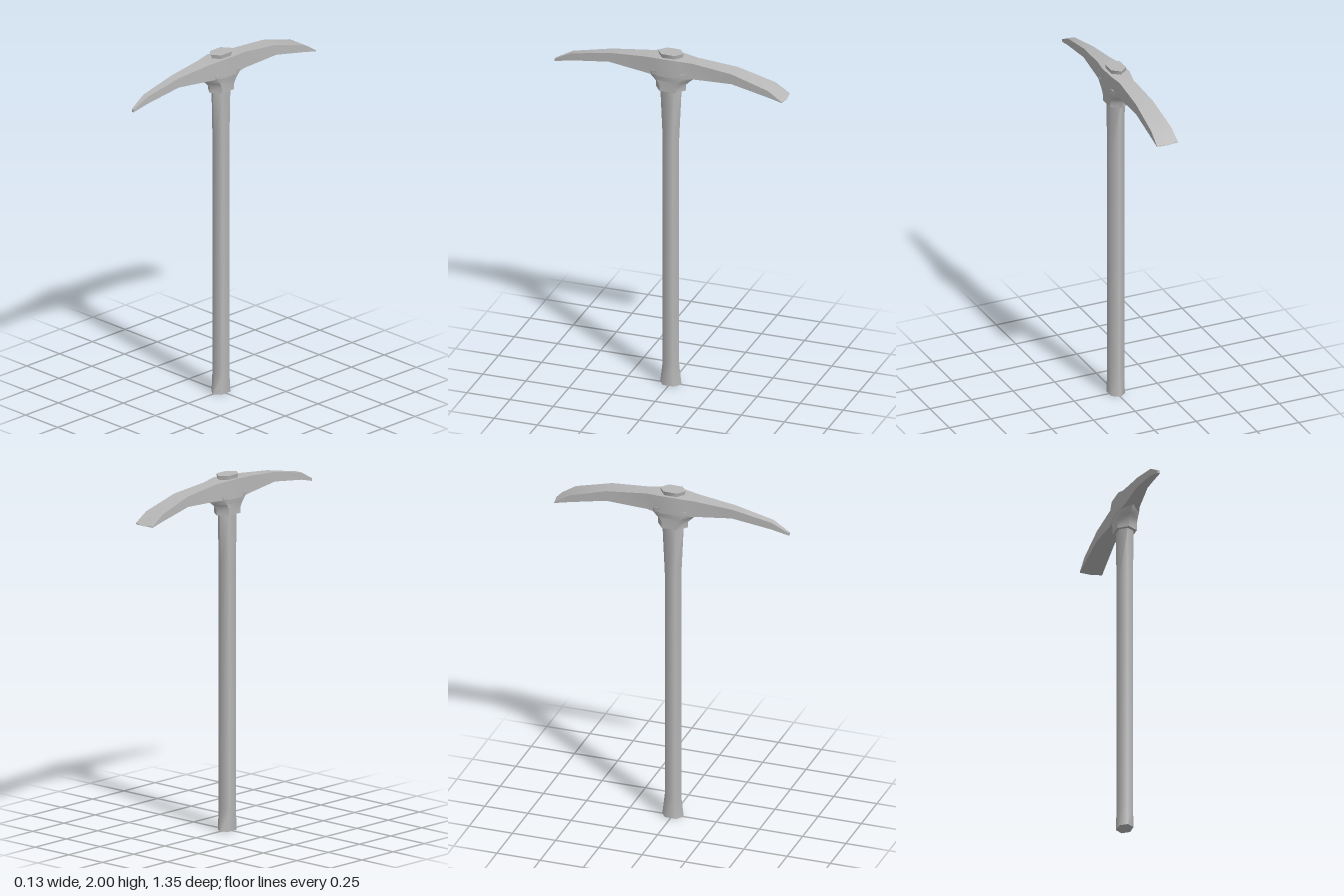
import * as THREE from 'three';
import { toCreasedNormals } from 'three/addons/utils/BufferGeometryUtils.js';

// Closed skin over equal-sized rings, each running anticlockwise seen from the far end
function loft(rings, crease) {
  const n = rings[0].length, last = (rings.length - 1) * n, index = [];
  for (let r = 0; r < last; r += n) {
    for (let i = 0; i < n; i++) {
      const j = (i + 1) % n;
      index.push(r + i, r + j, r + n + j, r + i, r + n + j, r + n + i);
    }
  }
  for (let i = 1; i < n - 1; i++) {
    index.push(0, i + 1, i, last, last + i, last + i + 1);
  }
  const g = new THREE.BufferGeometry();
  g.setAttribute('position', new THREE.Float32BufferAttribute(rings.flat(2), 3));
  g.setIndex(index);
  return toCreasedNormals(g, crease);
}

// Long hexagon with its points along z
const hexRing = ([y, x, z]) => [
  [x, y, z * 0.53], [x, y, -z * 0.53], [0, y, -z],
  [-x, y, -z * 0.53], [-x, y, z * 0.53], [0, y, z],
];

// Head section: flat top and bottom, each with a middle vertex
const headRing = ([z, w, top, bottom, zMid = z]) => [
  [w, top, z], [0, top, zMid], [-w, top, z],
  [-w, bottom, z], [0, bottom, zMid], [w, bottom, z],
];

export function createModel() {
  const group = new THREE.Group();
  const grey = new THREE.MeshStandardMaterial({ color: 0xb8b8b8 });
  grey.name = 'plain grey';
  const add = (name, geometry) => {
    const mesh = new THREE.Mesh(geometry, grey);
    mesh.name = name;
    group.add(mesh);
  };

  // Handle: y, half width, half depth
  add('handle', loft([
    [0, 0.04, 0.062], [0.12, 0.04, 0.048], [1.48, 0.04, 0.048],
    [1.78, 0.04, 0.062], [1.97, 0.041, 0.065], [2, 0.045, 0.075],
  ].map(hexRing), 1.25));

  // Collar flaring up into the head
  add('collar', loft([
    [1.78, 0.055, 0.086], [1.815, 0.055, 0.088], [1.845, 0.056, 0.117],
    [1.877, 0.058, 0.165], [1.9, 0.058, 0.165],
  ].map(hexRing), 0.9));

  // Head from the broad blade at the back to the pick point: z, half width, top, bottom
  add('head', loft([
    [-0.665, 0.063, 1.833, 1.828, -0.675], [-0.585, 0.06, 1.886, 1.846],
    [-0.37, 0.051, 1.947, 1.888], [-0.14, 0.042, 1.969, 1.875],
    [-0.05, 0.06, 1.977, 1.87], [0.05, 0.06, 1.977, 1.87],
    [0.14, 0.044, 1.969, 1.875], [0.35, 0.029, 1.949, 1.895],
    [0.575, 0.019, 1.903, 1.862], [0.673, 0.007, 1.85, 1.835],
  ].map(headRing), 0.9));

  return group;
}
